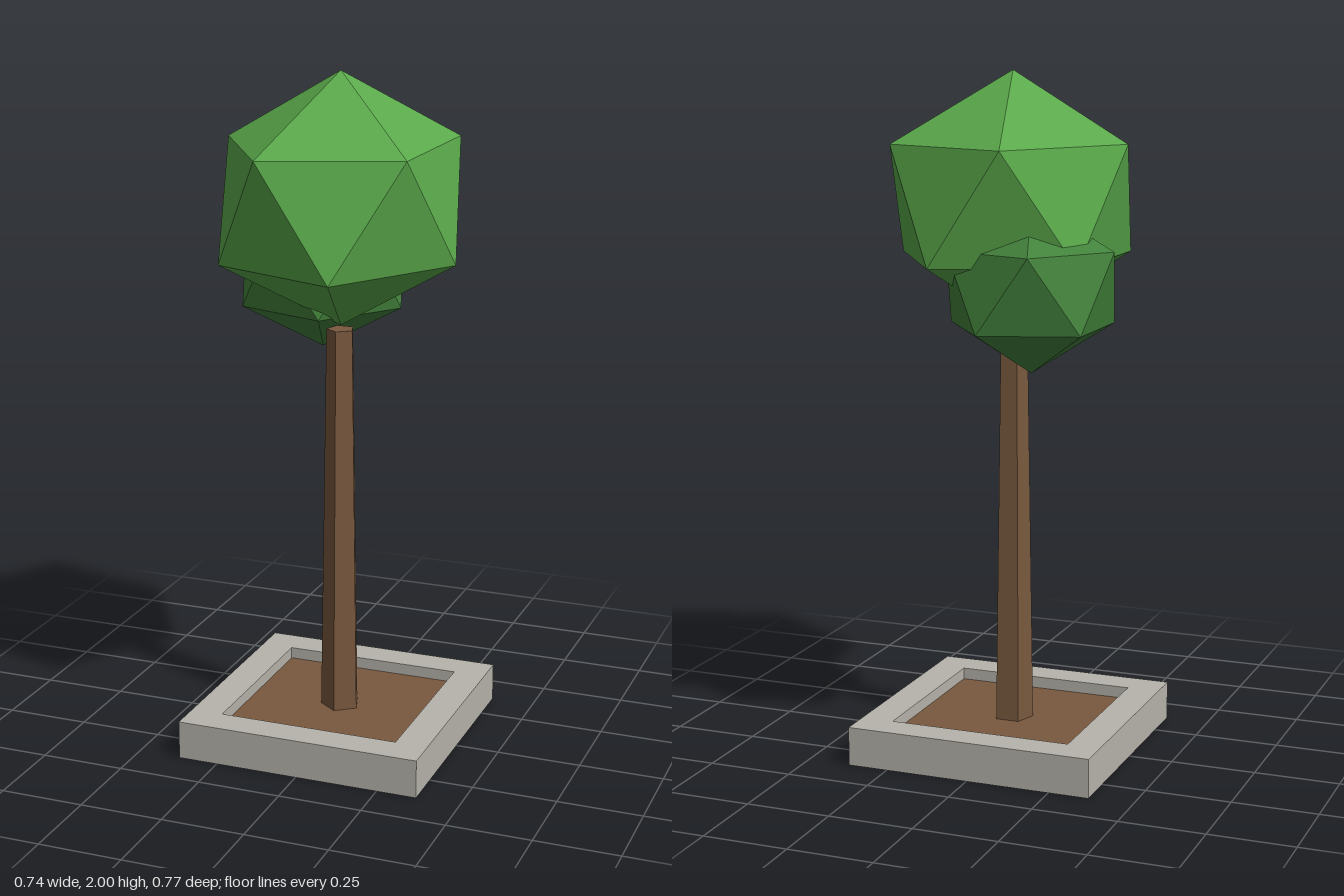
import * as THREE from 'three';

const flat = (name, color) => {
  const m = new THREE.MeshStandardMaterial({ color, flatShading: true });
  m.name = name;
  return m;
};

export function createModel() {
  const leafGreen = flat('leafGreen', 0x5aa94b);
  const darkLeafGreen = flat('darkLeafGreen', 0x43833c);
  const bark = flat('barkBrown', 0x79593f);
  const stone = flat('stoneGrey', 0xb7b4ac);

  const tree = new THREE.Group();
  tree.name = 'pottedTree';
  const add = (name, geometry, material, x, y, z) => {
    const mesh = new THREE.Mesh(geometry, material);
    mesh.name = name;
    mesh.position.set(x, y, z);
    tree.add(mesh);
  };

  // Square stone kerb, open in the middle
  const outer = 0.37, inner = 0.273, kerbHeight = 0.115;
  const square = (Type, h) => new Type([[-h, -h], [h, -h], [h, h], [-h, h]]
    .map(([x, y]) => new THREE.Vector2(x, y)));
  const kerbShape = square(THREE.Shape, outer);
  kerbShape.holes.push(square(THREE.Path, inner));
  const kerb = new THREE.ExtrudeGeometry(kerbShape, { depth: kerbHeight, bevelEnabled: false });
  kerb.rotateX(-Math.PI / 2);
  add('kerb', kerb, stone, 0, 0, 0.002);

  // Soil sunk below the rim
  const soilTop = 0.08;
  add('soil', new THREE.BoxGeometry(inner * 2, soilTop, inner * 2), bark, 0, soilTop / 2, 0.002);

  // Tapered five-sided trunk
  const trunkTop = 1.255;
  add('trunk', new THREE.CylinderGeometry(0.042, 0.06, trunkTop - soilTop, 5), bark,
    0, (trunkTop + soilTop) / 2, 0.002);

  // Foliage: icosahedra turned to stand on a corner, then stretched
  const foliage = (rx, ry, rz) => {
    const g = new THREE.IcosahedronGeometry(1, 0);
    g.rotateZ(Math.atan(2 / (1 + Math.sqrt(5))));
    g.scale(rx, ry, rz);
    g.computeVertexNormals();
    return g;
  };
  add('mainFoliage', foliage(0.387, 0.367, 0.447), leafGreen, 0, 1.633, 0.002);
  add('sideFoliage', foliage(0.274, 0.245, 0.274), darkLeafGreen, -0.115, 1.402, -0.152);

  return tree;
}
